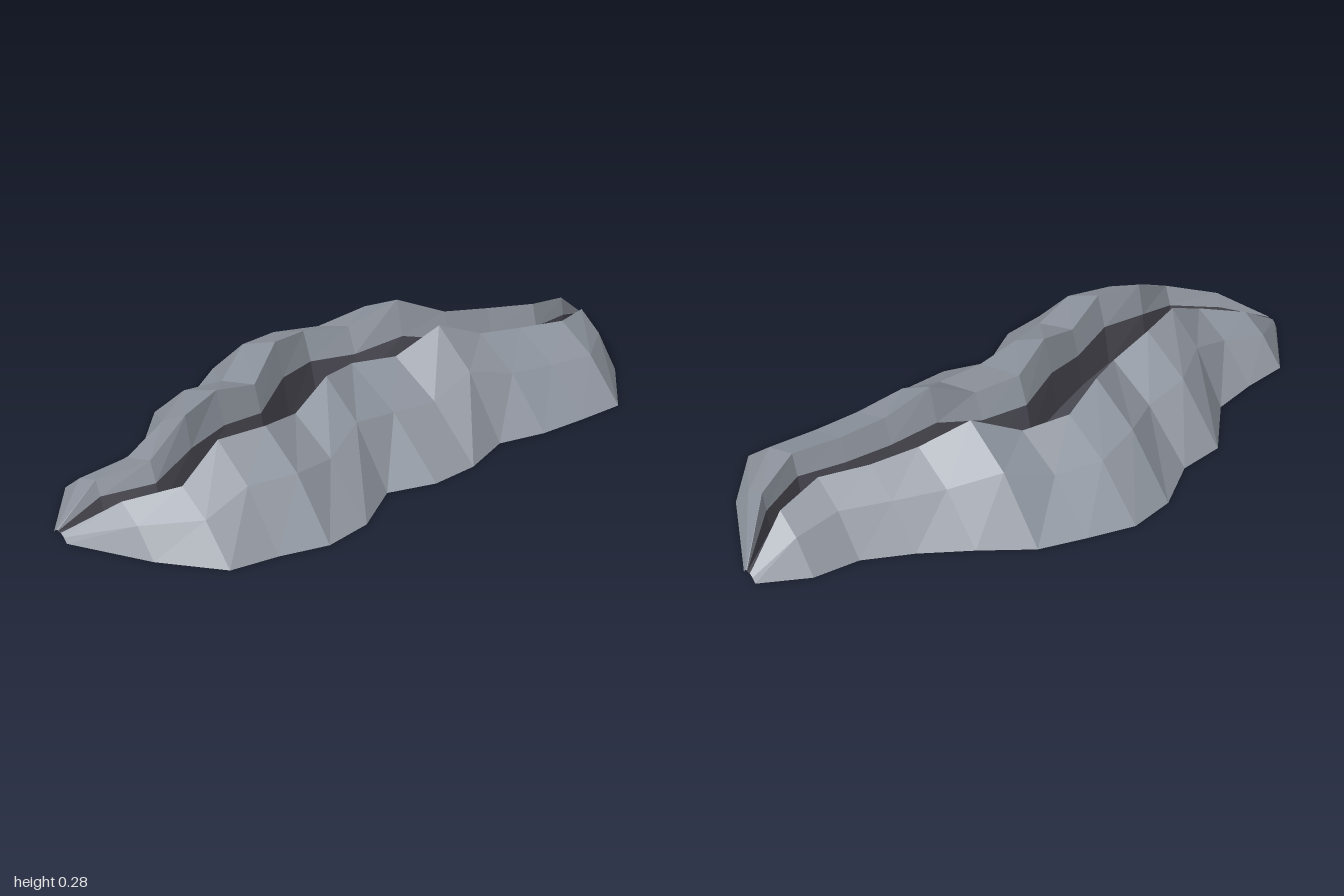
import * as THREE from 'three';

const rock = new THREE.MeshStandardMaterial({ name: 'grey rock', color: 0x8f959f, side: THREE.DoubleSide, flatShading: true });
const chasm = new THREE.MeshStandardMaterial({ name: 'dark chasm', color: 0x494851, side: THREE.DoubleSide, flatShading: true });

// Fifteen stations along x: back foot z, back rim z, front rim z, front foot z, rim height
const stations = [
  [-0.03, -0.01, 0.01, 0.04, 0.02],
  [-0.20, -0.025, 0.11, 0.26, 0.12],
  [-0.21, 0.04, 0.20, 0.42, 0.16],
  [-0.235, 0.01, 0.17, 0.45, 0.24],
  [-0.38, -0.04, 0.20, 0.495, 0.245],
  [-0.39, -0.05, 0.15, 0.48, 0.205],
  [-0.48, -0.14, 0.11, 0.395, 0.257],
  [-0.50, -0.19, 0.05, 0.445, 0.22],
  [-0.455, -0.15, 0.08, 0.445, 0.205],
  [-0.405, -0.09, 0.11, 0.40, 0.275],
  [-0.30, -0.03, 0.14, 0.44, 0.21],
  [-0.205, 0.01, 0.165, 0.455, 0.19],
  [-0.13, 0.065, 0.20, 0.465, 0.18],
  [-0.11, 0.045, 0.14, 0.305, 0.145],
  [-0.03, -0.005, 0.015, 0.03, 0.02],
];

// Cross-section from back foot over both rims to front foot
const sections = stations.map(([backFoot, backRim, frontRim, frontFoot, h], i) => {
  const x = -1 + i / 7;
  const gap = t => backRim + (frontRim - backRim) * t;
  const floorY = 0.018;
  const ledgeY = floorY + (h - floorY) * 0.55;
  return [
    [backFoot, 0], [(backFoot + backRim) / 2, h * 0.66], [backRim, h],
    [gap(0.15), ledgeY], [gap(0.27), floorY],
    [gap(0.74), floorY], [gap(0.85), ledgeY],
    [frontRim, h], [(frontFoot + frontRim) / 2, h * 0.66], [frontFoot, 0],
  ].map(([z, y]) => new THREE.Vector3(x, y, z));
});

// Faceted surface between section points first..last
function strip(name, first, last, material) {
  const points = [];
  for (let i = 0; i < sections.length - 1; i++) {
    for (let k = first; k < last; k++) {
      const a = sections[i][k], b = sections[i][k + 1];
      const c = sections[i + 1][k], d = sections[i + 1][k + 1];
      points.push(a, b, c, b, d, c);
    }
  }
  const geometry = new THREE.BufferGeometry().setFromPoints(points);
  geometry.computeVertexNormals();
  const mesh = new THREE.Mesh(geometry, material);
  mesh.name = name;
  return mesh;
}

export function createModel() {
  const model = new THREE.Group();
  model.name = 'ravine';
  model.add(
    strip('backSlope', 0, 2, rock),
    strip('backUpperWall', 2, 3, rock),
    strip('backLowerWall', 3, 4, chasm),
    strip('ravineFloor', 4, 5, chasm),
    strip('frontLowerWall', 5, 6, chasm),
    strip('frontUpperWall', 6, 7, rock),
    strip('frontSlope', 7, 9, rock),
  );
  return model;
}
